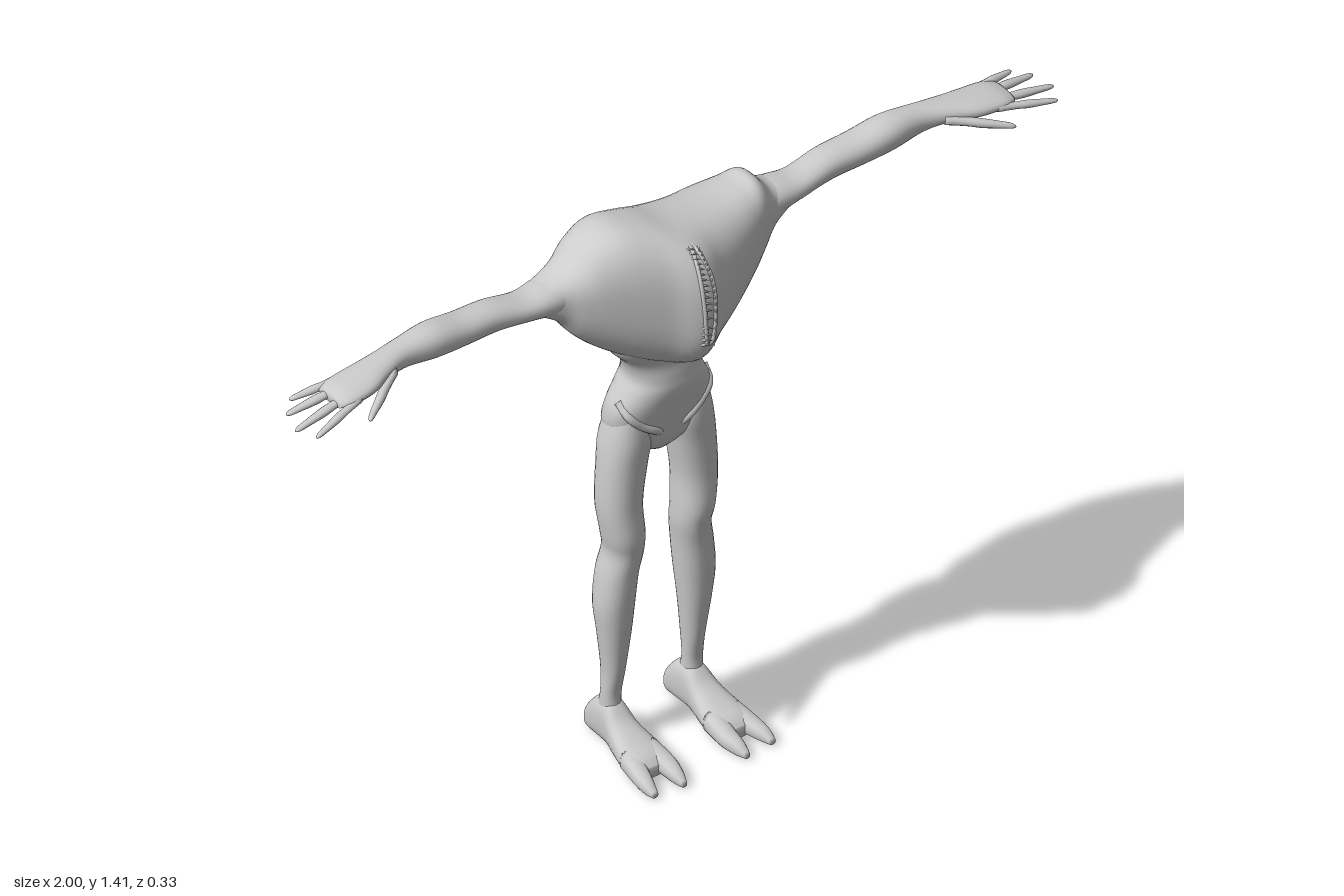
import * as THREE from 'three';
import { mergeGeometries } from 'three/addons/utils/BufferGeometryUtils.js';

const material = new THREE.MeshStandardMaterial({ color: 0xcccccc, roughness: 0.8 });
const AXES = { x: [0, 1, 2], y: [1, 2, 0], z: [2, 0, 1] };

// Point on a body whose stations are [position, aMin, aMax, bMin, bMax] along an axis;
// u is the (fractional) station index, angle runs around the cross-section.
function pointOn(axis, stations, u, angle, power) {
  const last = stations.length - 1;
  const i = Math.min(Math.floor(u), last - 1), t = u - i;
  const s = (k) => stations[THREE.MathUtils.clamp(k, 0, last)];
  const [p, a0, a1, b0, b1] = stations[0].map((_, c) => {
    const A = s(i - 1)[c], B = s(i)[c], C = s(i + 1)[c], D = s(i + 2)[c];
    return B + 0.5 * t * (C - A + t * (2 * A - 5 * B + 4 * C - D + t * (3 * (B - C) + D - A)));
  });
  const round = (v) => Math.sign(v) * Math.abs(v) ** power;
  const out = [0, 0, 0], [k, ka, kb] = AXES[axis];
  out[k] = p;
  out[ka] = (a0 + a1) / 2 + ((a1 - a0) / 2) * round(Math.cos(angle));
  out[kb] = (b0 + b1) / 2 + ((b1 - b0) / 2) * round(Math.sin(angle));
  return new THREE.Vector3(...out);
}

// Smooth closed skin through the stations, optionally mirrored in x
function loft(axis, stations, { power = 0.9, sides = 28, steps = 5, mirror = false } = {}) {
  const rings = (stations.length - 1) * steps, pos = [], index = [];
  const sx = mirror ? -1 : 1;
  const push = (v) => pos.push(v.x * sx, v.y, v.z);
  const tri = (a, b, c) => (mirror ? index.push(a, c, b) : index.push(a, b, c));
  const centres = [];
  for (let i = 0; i <= rings; i++) {
    const centre = new THREE.Vector3();
    for (let j = 0; j < sides; j++) {
      const v = pointOn(axis, stations, i / steps, (j / sides) * Math.PI * 2, power);
      centre.addScaledVector(v, 1 / sides);
      push(v);
    }
    centres.push(centre);
  }
  for (let i = 0; i < rings; i++) {
    for (let j = 0; j < sides; j++) {
      const a = i * sides + j, b = i * sides + ((j + 1) % sides);
      tri(a, b, b + sides);
      tri(a, b + sides, a + sides);
    }
  }
  const c0 = pos.length / 3;
  push(centres[0]);
  push(centres[rings]);
  for (let j = 0; j < sides; j++) {
    const n = (j + 1) % sides;
    tri(c0, n, j);
    tri(c0 + 1, rings * sides + j, rings * sides + n);
  }
  const g = new THREE.BufferGeometry();
  g.setAttribute('position', new THREE.Float32BufferAttribute(pos, 3));
  g.setIndex(index);
  g.computeVertexNormals();
  return g;
}

// Knuckled, tapering finger from base to tip (both [x, y, z])
function fingerStations(base, tip, r) {
  return [[0, 1], [0.3, 0.85], [0.5, 0.95], [0.75, 0.75], [0.94, 0.55], [1, 0.15]].map(([t, k]) => {
    const [x, y, z] = base.map((v, i) => v + (tip[i] - v) * t);
    return [x, y - r * k * 0.85, y + r * k * 0.85, z - r * k, z + r * k];
  });
}

// Hunched headless torso, in slices from one shoulder to the other
const TORSO = [
  [-0.34, 1.266, 1.315, -0.078, 0], [-0.28, 1.222, 1.33, -0.097, 0.012],
  [-0.24, 1.17, 1.352, -0.112, 0.032], [-0.2, 1.13, 1.388, -0.13, 0.052],
  [-0.14, 1.085, 1.41, -0.15, 0.08], [-0.07, 1.05, 1.4, -0.155, 0.112],
  [0, 1.035, 1.378, -0.165, 0.15],
  [0.07, 1.05, 1.365, -0.155, 0.112], [0.14, 1.085, 1.36, -0.15, 0.08],
  [0.2, 1.13, 1.364, -0.13, 0.052], [0.24, 1.17, 1.37, -0.112, 0.032],
  [0.28, 1.222, 1.33, -0.097, 0.012], [0.34, 1.266, 1.315, -0.078, 0],
];
const WAIST = [
  [0.76, -0.085, -0.02, -0.03, 0.03], [0.79, -0.112, 0.002, -0.085, 0.085],
  [0.84, -0.125, 0.015, -0.122, 0.122], [0.9, -0.112, 0.03, -0.125, 0.125],
  [0.95, -0.105, 0.04, -0.103, 0.103], [0.985, -0.1, 0.038, -0.088, 0.088],
  [1.03, -0.092, 0.035, -0.1, 0.1], [1.08, -0.1, 0.055, -0.14, 0.14],
  [1.14, -0.12, 0.07, -0.16, 0.16],
];
const LEG = [
  [0.08, -0.1, -0.035, 0.085, 0.13], [0.13, -0.083, -0.04, 0.085, 0.13],
  [0.2, -0.085, -0.028, 0.08, 0.13], [0.3, -0.09, -0.015, 0.07, 0.142],
  [0.38, -0.098, -0.008, 0.062, 0.15], [0.46, -0.1, -0.003, 0.055, 0.142],
  [0.52, -0.094, 0.005, 0.048, 0.13], [0.57, -0.092, 0.012, 0.048, 0.138],
  [0.65, -0.097, 0.007, 0.05, 0.148], [0.75, -0.1, 0.008, 0.036, 0.144],
  [0.82, -0.105, 0.012, 0.025, 0.135], [0.89, -0.085, 0.008, 0.04, 0.118],
];
const FOOT = [
  [-0.14, 0.092, 0.118, 0.006, 0.035], [-0.125, 0.08, 0.13, 0, 0.07],
  [-0.09, 0.076, 0.135, 0, 0.108], [-0.05, 0.076, 0.138, 0, 0.115],
  [-0.01, 0.07, 0.148, 0, 0.083], [0.04, 0.06, 0.16, 0, 0.06],
  [0.08, 0.062, 0.163, 0, 0.046], [0.1, 0.075, 0.15, 0.004, 0.03],
];
const TOES = [
  [[0.04, 0.06, 0.112, 0, 0.056], [0.1, 0.058, 0.102, 0, 0.043],
    [0.14, 0.066, 0.097, 0, 0.033], [0.167, 0.076, 0.09, 0.004, 0.018]],
  [[0.04, 0.108, 0.16, 0, 0.055], [0.1, 0.126, 0.168, 0, 0.04],
    [0.135, 0.138, 0.168, 0, 0.031], [0.16, 0.147, 0.163, 0.004, 0.017]],
];
const ARM = [
  [0.22, 1.235, 1.33, -0.09, 0.015], [0.3, 1.25, 1.324, -0.09, 0.01],
  [0.36, 1.262, 1.318, -0.082, 0.005], [0.44, 1.268, 1.333, -0.085, -0.002],
  [0.52, 1.27, 1.338, -0.085, 0], [0.6, 1.275, 1.352, -0.08, 0.004],
  [0.68, 1.285, 1.345, -0.07, -0.003], [0.74, 1.293, 1.34, -0.063, 0.012],
  [0.8, 1.294, 1.335, -0.06, 0.036], [0.86, 1.294, 1.328, -0.057, 0.042],
  [0.89, 1.298, 1.318, -0.045, 0.032],
];
const FINGERS = [
  [[0.84, 1.313, -0.046], [0.952, 1.297, -0.066], 0.011],
  [[0.84, 1.313, -0.021], [0.985, 1.292, -0.033], 0.012],
  [[0.84, 1.312, 0.008], [1, 1.288, 0.02], 0.012],
  [[0.84, 1.31, 0.032], [0.978, 1.288, 0.065], 0.011],
  [[0.725, 1.312, 0.0], [0.853, 1.288, 0.084], 0.014],
];

export function createModel() {
  const model = new THREE.Group();
  model.name = 'headlessCreature';
  const add = (name, geometry, parent = model) => {
    const mesh = new THREE.Mesh(geometry, material);
    mesh.name = name;
    parent.add(mesh);
  };
  const torsoPower = 0.8;
  add('torso', loft('x', TORSO, { power: torsoPower, sides: 48, steps: 6 }));
  add('waistAndPelvis', loft('y', WAIST, { power: 0.85, sides: 36 }));

  // Limbs, built once per side
  for (const [side, mirror] of [['left', false], ['right', true]]) {
    const arm = new THREE.Group(), leg = new THREE.Group();
    arm.name = side + 'Arm';
    leg.name = side + 'Leg';
    model.add(arm, leg);
    add('armAndPalm', loft('x', ARM, { mirror }), arm);
    FINGERS.forEach(([base, tip, r], i) =>
      add(i === 4 ? 'thumb' : 'finger', loft('x', fingerStations(base, tip, r), { mirror, power: 1, sides: 12, steps: 3 }), arm));
    add('thighAndShin', loft('y', LEG, { mirror }), leg);
    add('foot', loft('z', FOOT, { mirror, power: 0.8 }), leg);
    TOES.forEach((toe) => add('toe', loft('z', toe, { mirror, power: 0.8, sides: 16 }), leg));

    // Hip bone ridge slanting down to the groin
    const sx = mirror ? -1 : 1;
    const ridge = [[3.5, 1.25], [3, 0.95], [2.5, 0.6], [2, 0.25], [1.6, 0.1]].map(([u, a], i) => {
      const p = pointOn('y', WAIST, u, a, 0.85);
      p.x *= sx;
      p.z -= i % 4 ? 0.005 : 0.02;
      return p;
    });
    add(side + 'HipRidge', new THREE.TubeGeometry(new THREE.CatmullRomCurve3(ridge), 24, 0.011, 10));
  }

  // Vertical toothed slit down the breastbone
  const lips = [], teeth = [];
  for (const s of [-1, 1]) {
    const path = [];
    for (let i = 0; i <= 12; i++) {
      const spread = 0.22 * Math.sin((Math.PI * (i + 1)) / 14);
      const p = pointOn('x', TORSO, 6 + s * spread, 0.5 + i * 0.125, torsoPower);
      if (i % 12 === 0) p.z -= 0.015;
      path.push(p);
    }
    lips.push(new THREE.TubeGeometry(new THREE.CatmullRomCurve3(path), 40, 0.005, 8));
    for (let i = 0; i < 17; i++) {
      const p = pointOn('x', TORSO, 6 + s * 0.14, 0.56 + i * 0.084 + s * 0.015, torsoPower);
      const tooth = new THREE.ConeGeometry(0.005, 0.028, 6);
      tooth.rotateX(Math.PI / 2 - 0.25);
      tooth.rotateY(-s * 0.5);
      tooth.translate(p.x, p.y, p.z + 0.005);
      teeth.push(tooth);
    }
  }
  add('slitLips', mergeGeometries(lips));
  add('slitTeeth', mergeGeometries(teeth));
  return model;
}
